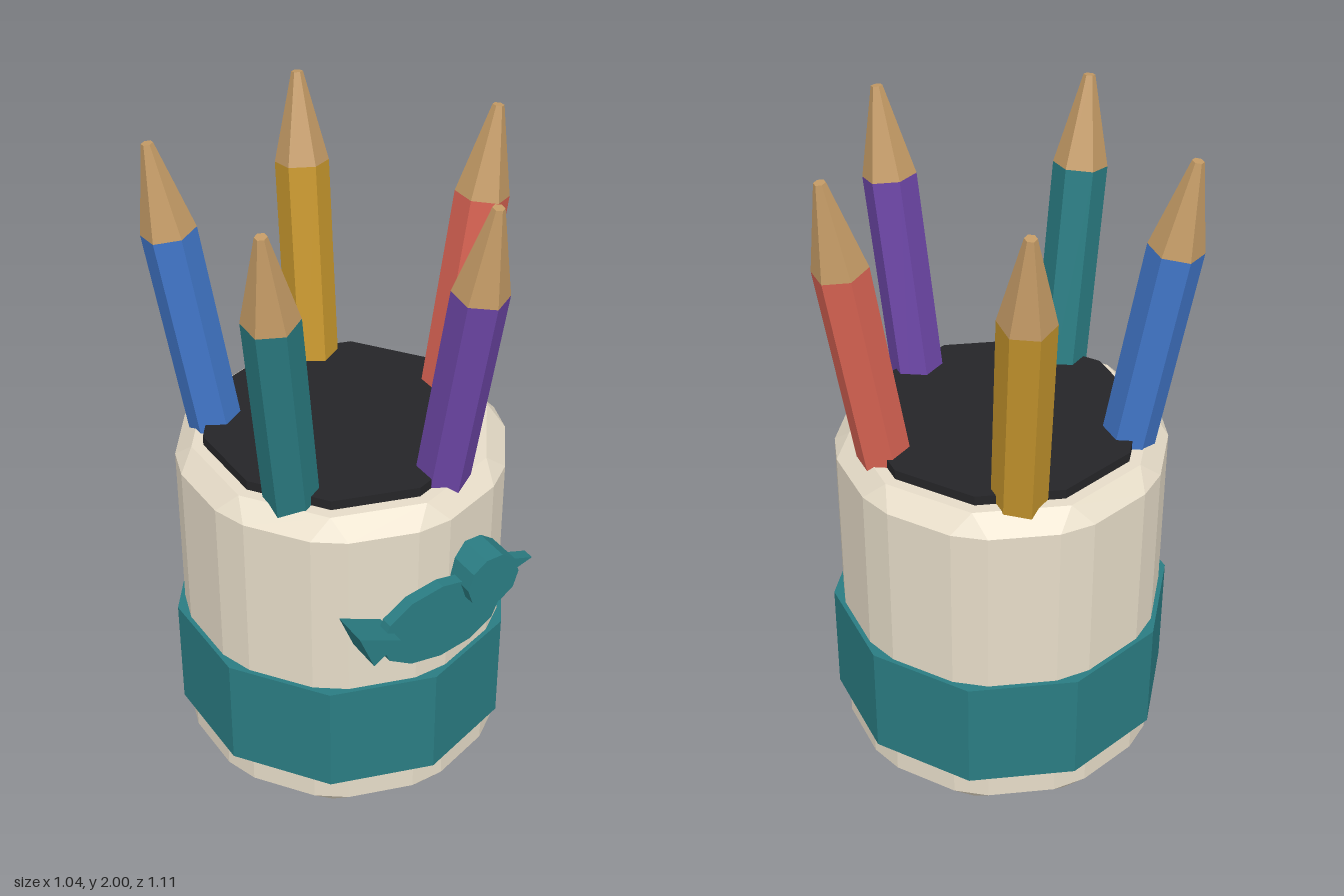
import * as THREE from 'three';
import { ConvexGeometry } from 'three/addons/geometries/ConvexGeometry.js';

const paint = (color) => new THREE.MeshStandardMaterial({ color, flatShading: true });
const CREAM = paint(0xe6dcc8), TEAL = paint(0x2a7c82), DARK = paint(0x252528), WOOD = paint(0xc39a65);

function add(parent, name, geometry, material, x = 0, y = 0, z = 0) {
  const mesh = new THREE.Mesh(geometry, material);
  mesh.name = name;
  mesh.position.set(x, y, z);
  parent.add(mesh);
  return mesh;
}

// Ten-sided cup with chamfered rims and chamfered upright corners
function cupGeometry() {
  const points = [];
  const polar = (r, a, y) => points.push(new THREE.Vector3(r * Math.sin(a), y, r * Math.cos(a)));
  const cut = Math.atan2(0.053, 0.491);
  for (let i = 0; i < 10; i++) {
    const a = (i * Math.PI) / 5;
    for (const y of [0, 1.105]) polar(0.449, a, y);
    for (const y of [0.055, 1.05]) {
      polar(0.494, a - cut, y);
      polar(0.494, a + cut, y);
    }
  }
  return new ConvexGeometry(points);
}

// Six-sided pencil; its origin sits level with the cup rim
function pencil(name, color) {
  const group = new THREE.Group();
  group.name = name;
  add(group, 'pencilShaft', new THREE.CylinderGeometry(0.08, 0.08, 0.893, 6), paint(color), 0, 0.1965, 0);
  add(group, 'pencilTip', new THREE.CylinderGeometry(0.017, 0.08, 0.267, 6), WOOD, 0, 0.7765, 0);
  return group;
}

// Flat plate of the given outline, centred on z = 0
function plate(points, depth) {
  const shape = new THREE.Shape(points.map(([x, y]) => new THREE.Vector2(x, y)));
  return new THREE.ExtrudeGeometry(shape, { depth, bevelEnabled: false }).translate(0, 0, -depth / 2);
}

// Disc facing +z; its first corner points down
function disc(rx, ry, depth, sides) {
  return new THREE.CylinderGeometry(1, 1, depth, sides).rotateX(Math.PI / 2).scale(rx, ry, 1);
}

export function createModel() {
  const model = new THREE.Group();
  model.name = 'pencilCup';

  // Cup, band and dark filling
  const cup = new THREE.Group();
  cup.name = 'cup';
  cup.position.set(-0.025, 0, -0.023);
  model.add(cup);
  add(cup, 'cupBody', cupGeometry(), CREAM);
  add(cup, 'band', new THREE.CylinderGeometry(0.523, 0.523, 0.367, 10), TEAL, 0, 0.3235, 0);
  add(cup, 'filling', new THREE.CylinderGeometry(0.414, 0.414, 0.06, 10), DARK, 0, 1.105, 0);

  // Five pencils leaning outward around the rim
  const colors = { red: 0xd86353, purple: 0x6c46a6, teal: 0x2a7c82, blue: 0x4176c8, yellow: 0xc6962d };
  const up = new THREE.Vector3(0, 1, 0);
  Object.entries(colors).forEach(([name, color], i) => {
    const a = (i * Math.PI * 2) / 5;
    const out = new THREE.Vector3(Math.cos(a), 0, Math.sin(a));
    const p = pencil(name + 'Pencil', color);
    p.position.copy(out).multiplyScalar(0.375).setY(1.1);
    p.quaternion.setFromUnitVectors(up, out.multiplyScalar(0.16).add(up).normalize());
    cup.add(p);
  });

  // Bird ornament on the front
  const bird = new THREE.Group();
  bird.name = 'bird';
  bird.position.z = 0.5;
  model.add(bird);
  add(bird, 'birdBody', disc(0.205, 0.13, 0.037, 12), TEAL, -0.027, 0.738, 0);
  add(bird, 'birdHead', disc(0.088, 0.088, 0.108, 10).rotateZ(Math.PI / 10), TEAL, 0.124, 0.847, 0);
  add(bird, 'birdBeak', plate([[0.195, 0.87], [0.195, 0.81], [0.288, 0.838]], 0.036), TEAL);
  add(bird, 'birdTail', plate([[-0.327, 0.835], [-0.28, 0.717], [-0.19, 0.77]], 0.108), TEAL);

  return model;
}
